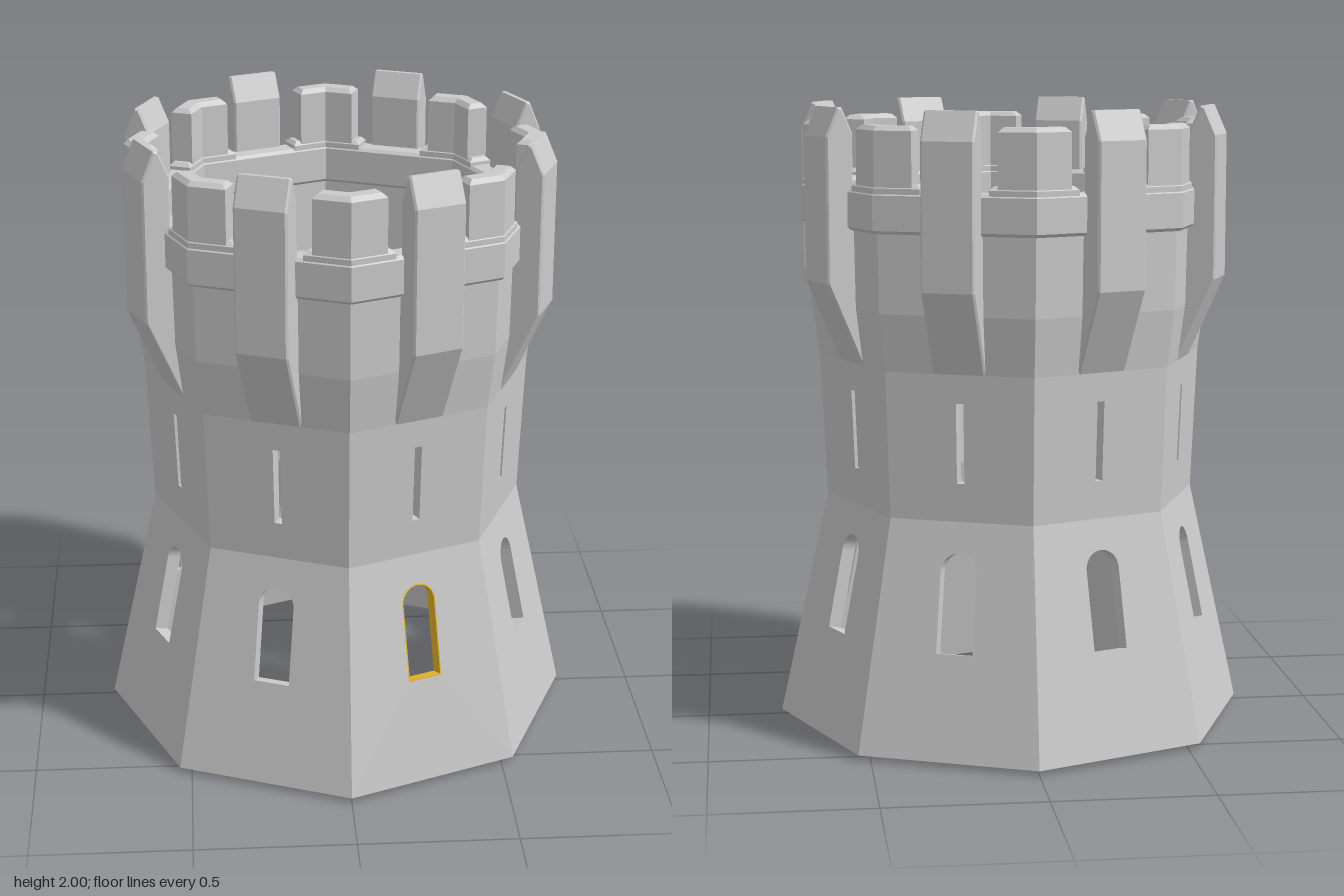
import * as THREE from 'three';

const SIDES = 8;
const HALF = Math.PI / SIDES;
const COS = Math.cos(HALF), SIN = Math.sin(HALF);
const stone = new THREE.MeshStandardMaterial({ color: 0xcccccc, flatShading: true });
const gold = new THREE.MeshStandardMaterial({ color: 0xe8b830, flatShading: true });

// Wall bands: outer [radius, y] and inner [radius, y] at bottom and top
const rings = [
  { out: [0.76, 0.015], inn: [0.715, 0.0] },
  { out: [0.6, 0.74], inn: [0.552, 0.735] },
  { out: [0.62, 1.2], inn: [0.57, 1.21] },
  { out: [0.645, 1.38], inn: [0.597, 1.39] },
  { out: [0.65, 1.64], inn: [0.597, 1.64] },
];

const polygon = (pts, Type = THREE.Shape) => new Type(pts.map(([x, y]) => new THREE.Vector2(x, y)));

function archOutline(Type, w, y0, y1) {
  const s = new Type();
  s.moveTo(-w, y0);
  s.lineTo(w, y0);
  s.lineTo(w, y1 - w);
  s.absarc(0, y1 - w, w, 0, Math.PI, false);
  s.closePath();
  return s;
}

// Extrude a flat outline through the slanted wall thickness, mitring its corners
function throughWall(shape, a, b) {
  const geo = new THREE.ExtrudeGeometry(shape, { depth: 1, bevelEnabled: false, curveSegments: 10 });
  const p = geo.attributes.position;
  const lerp = THREE.MathUtils.lerp;
  for (let i = 0; i < p.count; i++) {
    const v = (p.getY(i) - a.out[1]) / (b.out[1] - a.out[1]);
    const w = p.getZ(i);
    const r = lerp(lerp(a.inn[0], b.inn[0], v), lerp(a.out[0], b.out[0], v), w);
    const y = lerp(lerp(a.inn[1], b.inn[1], v), lerp(a.out[1], b.out[1], v), w);
    let u = p.getX(i);
    if (Math.abs(u) > 0.15) u = Math.sign(u) * r * SIN;
    p.setXYZ(i, u, y, r * COS);
  }
  geo.computeVertexNormals();
  return geo;
}

function wallPanel(a, b, hole) {
  const wa = a.out[0] * SIN, wb = b.out[0] * SIN;
  const s = polygon([[-wa, a.out[1]], [wa, a.out[1]], [wb, b.out[1]], [-wb, b.out[1]]]);
  if (hole) s.holes.push(hole);
  return throughWall(s, a, b);
}

// Extrude a plan outline upward from y0 to y1 with chamfered edges
function upright(shape, y0, y1, bevel) {
  const geo = new THREE.ExtrudeGeometry(shape, {
    depth: y1 - y0 - 2 * bevel, bevelEnabled: true, bevelSize: bevel,
    bevelThickness: bevel, bevelOffset: -bevel, bevelSegments: 1,
  });
  geo.rotateX(-Math.PI / 2);
  geo.translate(0, y0 + bevel, 0);
  return geo;
}

// Plan of a block wrapped round a corner that points to +z
function cornerPlan(ro, ri, len) {
  const t = (ro - ri) * COS;
  const ox = len * COS, oz = ro - len * SIN;
  const ix = ox - t * SIN, iz = oz - t * COS;
  return polygon([[0, -ro], [ox, -oz], [ix, -iz], [0, -ri], [-ix, -iz], [-ox, -oz]]);
}

const octagon = (r) => Array.from({ length: SIDES }, (_, i) =>
  [r * Math.cos(i * 2 * HALF), r * Math.sin(i * 2 * HALF)]);

function buttressGeometry() {
  const width = 0.168, bevel = 0.006;
  const side = polygon([[0.55, 1.2], [0.575, 1.2], [0.69, 1.46], [0.69, 1.91],
    [0.65, 2.0], [0.635, 2.0], [0.6, 1.92], [0.6, 1.66]]);
  const geo = new THREE.ExtrudeGeometry(side, {
    depth: width - 2 * bevel, bevelEnabled: true, bevelSize: bevel,
    bevelThickness: bevel, bevelOffset: -bevel, bevelSegments: 1,
  });
  geo.translate(0, 0, -width / 2 + bevel);
  geo.rotateY(-Math.PI / 2);
  return geo;
}

export function createModel() {
  const tower = new THREE.Group();
  tower.name = 'tower';
  const add = (name, geo, angle, mat = stone) => {
    const m = new THREE.Mesh(geo, mat);
    m.name = name;
    m.rotation.y = angle;
    tower.add(m);
  };

  // Panels with arched windows below and arrow slits above
  const slit = polygon([[-0.012, 0.86], [0.012, 0.86], [0.012, 1.11], [-0.012, 1.11]], THREE.Path);
  const panels = [
    ['lowerWall', archOutline(THREE.Path, 0.058, 0.34, 0.645)],
    ['middleWall', slit],
    ['flaredWall', null],
    ['upperWall', null],
  ].map(([name, hole], i) => [name, wallPanel(rings[i], rings[i + 1], hole)]);

  const buttress = buttressGeometry();
  const merlon = upright(cornerPlan(0.665, 0.59, 0.12), 1.7, 1.95, 0.014);
  const merlonFoot = upright(cornerPlan(0.668, 0.587, 0.148), 1.7, 1.775, 0.012);

  for (let k = 0; k < SIDES; k++) {
    const face = HALF + k * 2 * HALF, corner = k * 2 * HALF;
    for (const [name, geo] of panels) add(name, geo, face);
    add('buttress', buttress, face);
    add('merlon', merlon, corner);
    add('merlonFoot', merlonFoot, corner);
  }

  // Parapet ring carrying the merlons
  const ring = polygon(octagon(0.672));
  ring.holes.push(polygon(octagon(0.583), THREE.Path));
  add('parapet', upright(ring, 1.625, 1.752, 0.01), 0);

  // Gold lining of one window
  const lining = archOutline(THREE.Shape, 0.058, 0.34, 0.645);
  lining.holes.push(archOutline(THREE.Path, 0.054, 0.344, 0.641));
  add('windowLining', throughWall(lining, rings[0], rings[1]), HALF, gold);

  return tower;
}
